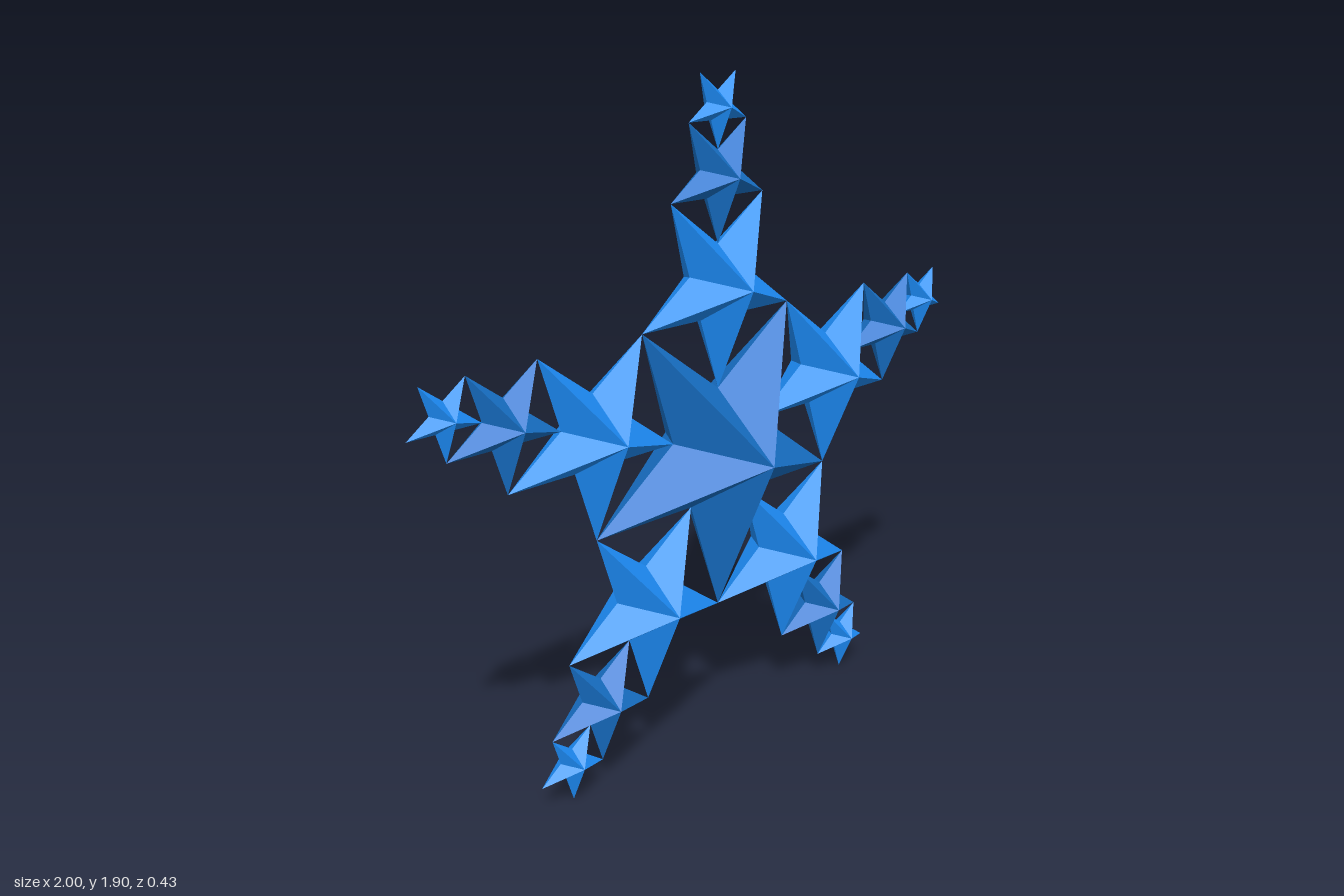
import * as THREE from 'three';

const R = 0.4702;                        // radius of the central star
const SHRINK = (Math.sqrt(5) - 1) / 2;   // each ring is smaller by the golden ratio
const INNER = SHRINK * SHRINK;           // notch radius of a regular pentagram
const DEPTH = 0.46;                      // apex height relative to radius
const CENTER_Y = R * (2 * Math.cos(Math.PI / 5) + SHRINK ** 3);

// Faceted five-pointed double pyramid of unit radius, one point straight down
function starGeometry() {
  const rim = [];
  for (let i = 0; i < 10; i++) {
    const a = -Math.PI / 2 + i * Math.PI / 5;
    const r = i % 2 ? INNER : 1;
    rim.push([r * Math.cos(a), r * Math.sin(a), 0]);
  }
  const positions = [];
  for (let i = 0; i < 10; i++) {
    const a = rim[i], b = rim[(i + 1) % 10];
    positions.push(...a, ...b, 0, 0, DEPTH);    // front facet
    positions.push(...b, ...a, 0, 0, -DEPTH);   // back facet
  }
  const geometry = new THREE.BufferGeometry();
  geometry.setAttribute('position', new THREE.Float32BufferAttribute(positions, 3));
  geometry.computeVertexNormals();
  return geometry;
}

export function createModel() {
  const model = new THREE.Group();
  model.name = 'starCluster';
  const geometry = starGeometry();
  const darkBlue = new THREE.MeshStandardMaterial({ color: 0x1874cd, flatShading: true });
  const brightBlue = new THREE.MeshStandardMaterial({ color: 0x1e90ff, flatShading: true });

  const addStar = (parent, name, x, y, radius, material) => {
    const star = new THREE.Mesh(geometry, material);
    star.name = name;
    star.position.set(x, y, 0);
    star.scale.setScalar(radius);
    parent.add(star);
  };

  addStar(model, 'centralStar', 0, CENTER_Y, R, darkBlue);

  // Five arms, each a chain of three shrinking stars
  const chain = [
    { name: 'innerStar', distance: R, material: brightBlue },
    { name: 'middleStar', distance: R * (1 + SHRINK), material: darkBlue },
    { name: 'tipStar', distance: R * 2, material: brightBlue },
  ];
  for (let i = 0; i < 5; i++) {
    const angle = Math.PI / 2 + i * Math.PI * 2 / 5;
    const arm = new THREE.Group();
    arm.name = `arm${i + 1}`;
    arm.position.y = CENTER_Y;
    chain.forEach(({ name, distance, material }, level) => {
      addStar(arm, name, distance * Math.cos(angle), distance * Math.sin(angle),
        R * SHRINK ** (level + 1), material);
    });
    model.add(arm);
  }
  return model;
}
